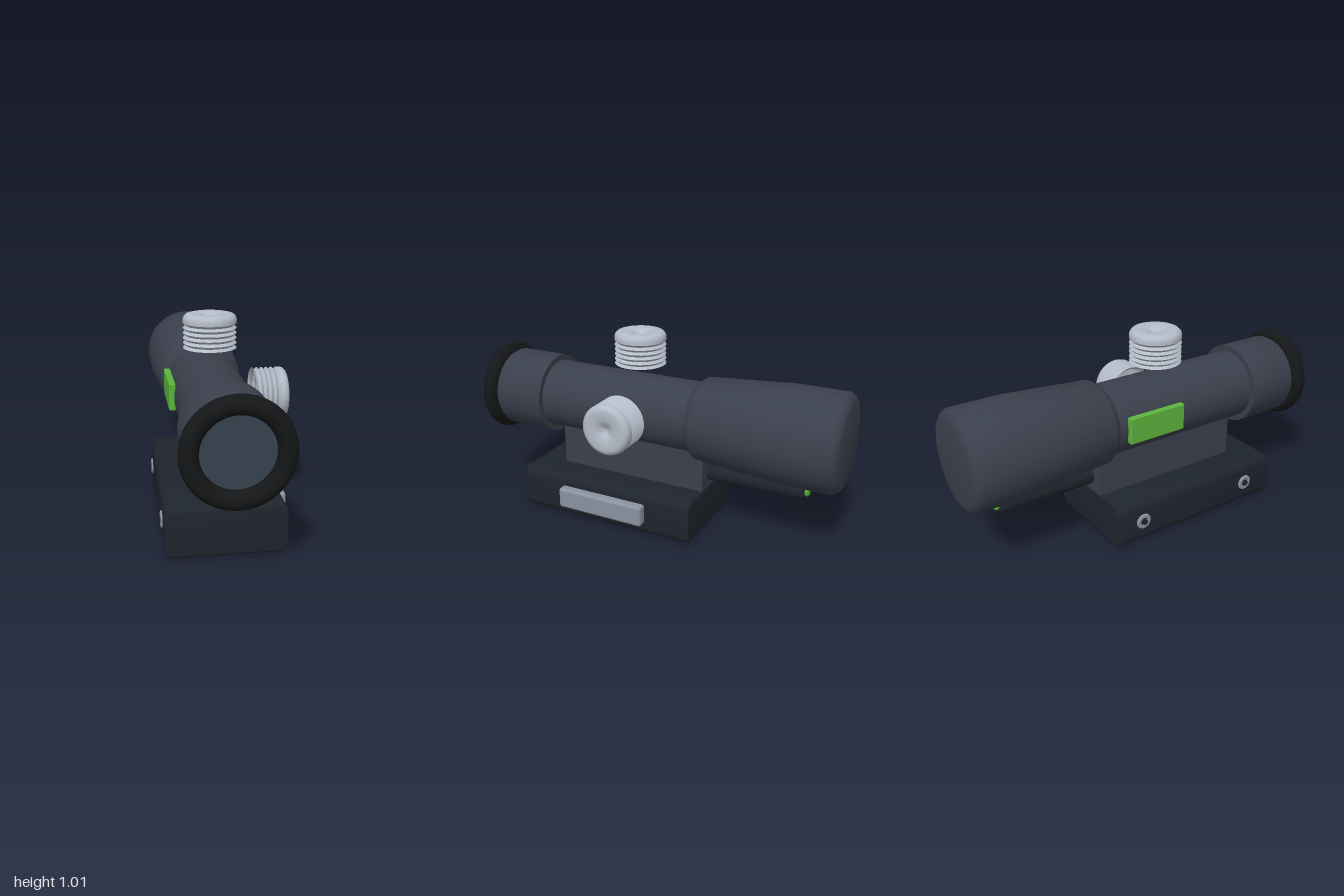
import * as THREE from 'three';
import { toCreasedNormals } from 'three/addons/utils/BufferGeometryUtils.js';
import { RoundedBoxGeometry } from 'three/addons/geometries/RoundedBoxGeometry.js';

const AX = -0.045, AY = 0.595; // optical axis
const KNOB_Z = 0.115;

const paint = (color, side = THREE.FrontSide) => new THREE.MeshStandardMaterial({ color, side });
const mats = {
  body: paint(0x3a404c),
  base: paint(0x1f252d),
  rubber: paint(0x151617),
  lens: paint(0x364250),
  knob: paint(0xb4bcc8, THREE.DoubleSide),
  metal: paint(0x8a93a2),
  green: paint(0x5cb53c),
};

export function createModel() {
  const model = new THREE.Group();

  const add = (name, geometry, material, x = 0, y = 0, z = 0) => {
    const mesh = new THREE.Mesh(geometry, material);
    mesh.name = name;
    mesh.position.set(x, y, z);
    model.add(mesh);
    return mesh;
  };
  // Turned part; profile is [radius, height] from bottom to top
  const turned = (profile, segments = 64, crease = 0.5) => toCreasedNormals(
    new THREE.LatheGeometry(profile.map(([r, h]) => new THREE.Vector2(r, h)), segments), crease);
  const box = (name, material, [x0, x1], [y0, y1], [z0, z1], radius) => add(name,
    new RoundedBoxGeometry(x1 - x0, y1 - y0, z1 - z0, 3, radius), material,
    (x0 + x1) / 2, (y0 + y1) / 2, (z0 + z1) / 2);

  // Scope tube: flared rear bell, slim middle, wider eyepiece
  add('scopeTube', turned([
    [0, -1], [0.2, -1], [0.222, -0.995], [0.241, -0.98], [0.25, -0.96],
    [0.25, -0.71], [0.245, -0.64], [0.217, -0.26], [0.212, -0.25], [0.185, -0.22],
    [0.185, 0.625], [0.216, 0.625], [0.216, 0.895], [0.2, 0.925], [0, 0.925],
  ]).rotateX(Math.PI / 2), mats.body, AX, AY);

  // Eyepiece ring and lens
  add('eyepieceRing', new THREE.TorusGeometry(0.204, 0.043, 24, 64), mats.rubber, AX, AY, 0.957);
  add('lens', new THREE.CircleGeometry(0.19, 48), mats.lens, AX, AY, 0.93);

  // Adjustment knobs: ridged, open below, dimpled cap
  const knobProfile = [];
  const teeth = 5, pitch = 0.025;
  for (let i = 0; i < teeth; i++) {
    knobProfile.push([0.134, i * pitch], [0.121, (i + 0.5) * pitch]);
  }
  knobProfile.push([0.134, teeth * pitch], [0.134, 0.143], [0.13, 0.155], [0.118, 0.167],
    [0.105, 0.17], [0.06, 0.168], [0.035, 0.16], [0.02, 0.148], [0, 0.14]);
  const knob = turned(knobProfile, 48, 0.7);
  add('topKnob', knob, mats.knob, AX, 0.845, KNOB_Z);
  add('sideKnob', knob, mats.knob, 0.175, AY, KNOB_Z).rotation.z = -Math.PI / 2;

  // Mount: rounded base block and riser
  const shape = new THREE.Shape();
  const bevel = 0.01, w = 0.285 - bevel, h = 0.1175 - bevel, r = 0.035;
  [[w - r, h - r, 0], [r - w, h - r, 1], [r - w, r - h, 2], [w - r, r - h, 3]].forEach(([x, y, q]) =>
    shape.absarc(x, y, r, q * Math.PI / 2, (q + 1) * Math.PI / 2));
  const baseGeometry = new THREE.ExtrudeGeometry(shape, {
    depth: 1 - 2 * bevel, bevelSize: bevel, bevelThickness: bevel, bevelSegments: 3, curveSegments: 8,
  }).translate(0, 0, -0.5 + bevel);
  add('mountBase', toCreasedNormals(baseGeometry, 0.6), mats.base, AX, 0.1175, 0.2);
  add('riser', new THREE.BoxGeometry(0.23, 0.23, 0.835), mats.body, AX, 0.345, 0.1175);

  // Clamp bar on the left of the base
  box('clampBar', mats.metal, [0.21, 0.285], [0.065, 0.178], [-0.05, 0.45], 0.015);

  // Screws on the right of the base
  const washer = turned([[0.019, -0.01], [0.042, -0.01], [0.042, 0.004], [0.036, 0.009],
    [0.022, 0.009], [0.019, 0.004]], 24);
  const stud = new THREE.CylinderGeometry(0.017, 0.017, 0.025, 6);
  for (const z of [-0.15, 0.53]) {
    add('screwWasher', washer, mats.metal, -0.33, 0.12, z).rotation.z = Math.PI / 2;
    add('screwStud', stud, mats.base, -0.333, 0.12, z).rotation.z = Math.PI / 2;
  }

  // Green sight strip on the tube
  box('sightStrip', mats.green, [-0.256, -0.222], [0.53, 0.67], [-0.175, 0.15], 0.006);

  // Rod under the bell with a glowing tip
  add('rod', turned([[0, -0.815], [0.038, -0.815], [0.05, -0.805], [0.055, -0.785],
    [0.055, -0.25], [0, -0.25]], 32).rotateX(Math.PI / 2), mats.base, AX, 0.315);
  add('rodTip', turned([[0, -0.832], [0.026, -0.832], [0.032, -0.826], [0.032, -0.8]], 24)
    .rotateX(Math.PI / 2), mats.green, AX, 0.315);

  return model;
}
